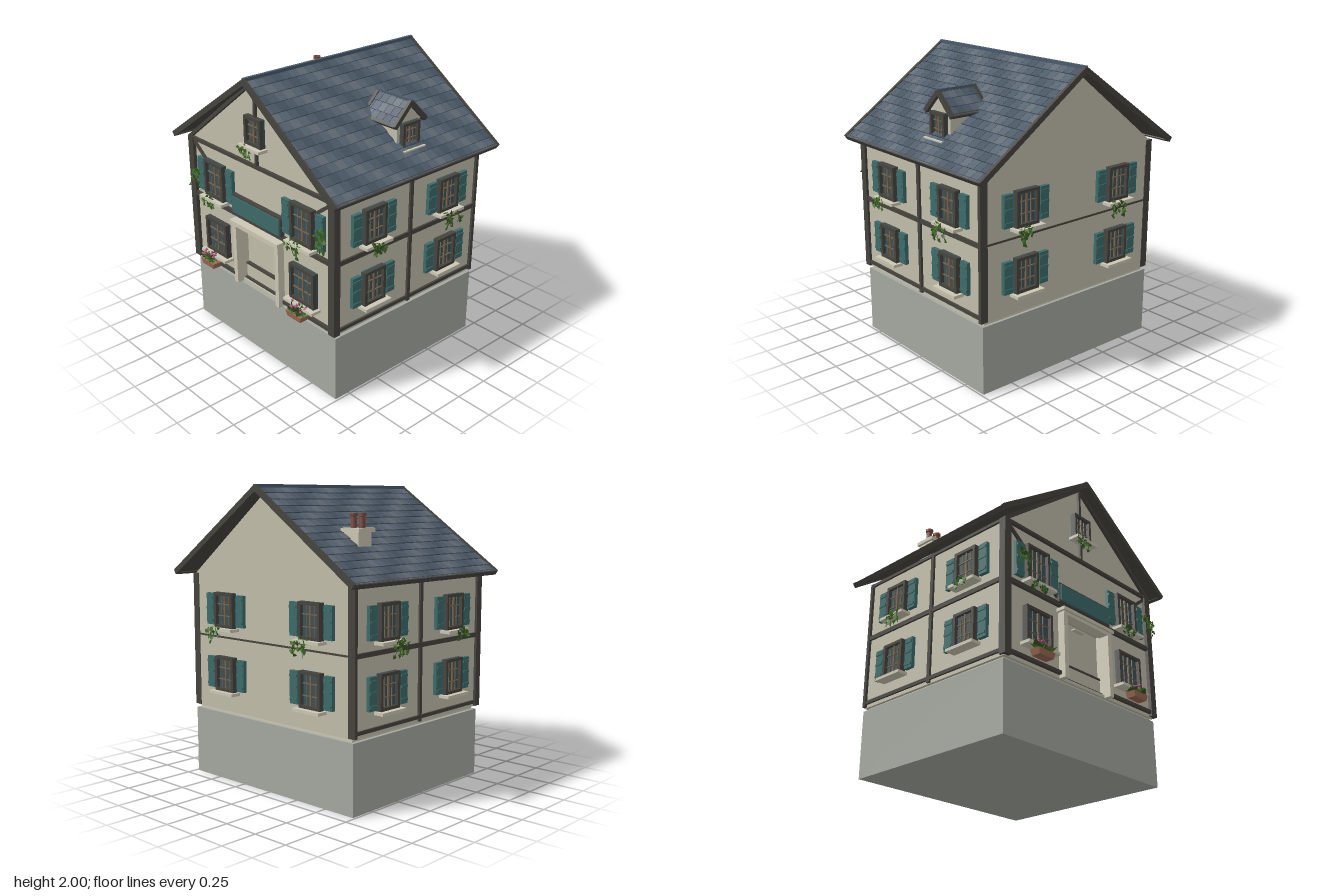
import * as THREE from 'three';
import { mergeGeometries } from 'three/addons/utils/BufferGeometryUtils.js';

const mat = (color, side = THREE.FrontSide) => new THREE.MeshStandardMaterial({ color, side, flatShading: true });
const M = {
  wall: mat(0xc2beab), stone: mat(0xcdc8b4), base: mat(0xa5a9a0), timber: mat(0x46443e), teal: mat(0x3c6b6a),
  glass: mat(0x3a5158), mullion: mat(0x75644f), pot: mat(0x7d4c40), box: mat(0x9a6a52), ridge: mat(0x4a5a6c),
  leaf: mat(0x4d7d2c, THREE.DoubleSide), darkLeaf: mat(0x33561f, THREE.DoubleSide), flower: mat(0xb04a80, THREE.DoubleSide),
};
const tileMats = [0x465360, 0x4d5a68, 0x566371, 0x626c76, 0x566371, 0x4d5a68].map(c => mat(c));

let seed = 7;
const rnd = (a = 0, b = 1) => { seed = (seed * 16807) % 2147483647; return a + (b - a) * seed / 2147483647; };

function add(parent, name, geo, material, x = 0, y = 0, z = 0) {
  const m = new THREE.Mesh(geo, material);
  m.name = name;
  m.position.set(x, y, z);
  parent.add(m);
  return m;
}
function group(parent, name) {
  const g = new THREE.Group();
  g.name = name;
  parent.add(g);
  return g;
}
// box given by its limits on each axis
const block = (p, name, m, x0, x1, y0, y1, z0, z1) =>
  add(p, name, new THREE.BoxGeometry(x1 - x0, y1 - y0, z1 - z0), m, (x0 + x1) / 2, (y0 + y1) / 2, (z0 + z1) / 2);
// slanted beam between two points of a wall
function beam(p, name, x0, y0, x1, y1, z, w, d) {
  const b = add(p, name, new THREE.BoxGeometry(Math.hypot(x1 - x0, y1 - y0), w, d), M.timber, (x0 + x1) / 2, (y0 + y1) / 2, z);
  b.rotation.z = Math.atan2(y1 - y0, x1 - x0);
}
// five-sided gable outline, extruded from z0 to z1
function gable(p, name, hw, y0, y1, apex, z0, z1, hole) {
  const s = new THREE.Shape([[-hw, y0], [hw, y0], [hw, y1], [0, apex], [-hw, y1]].map(a => new THREE.Vector2(...a)));
  if (hole) s.holes.push(new THREE.Path(hole.map(a => new THREE.Vector2(...a))));
  return add(p, name, new THREE.ExtrudeGeometry(s, { depth: z1 - z0, bevelEnabled: false }), M.wall, 0, 0, z0);
}

// pointed leaf lying in its own plane
function leafGeo(size) {
  const s = new THREE.Shape([[0, 0], [0.45, 0.2], [0.3, 0.55], [0, 1], [-0.3, 0.55], [-0.45, 0.2]].map(a => new THREE.Vector2(a[0] * size, a[1] * size)));
  return new THREE.ShapeGeometry(s);
}
// trailing cluster of leaves with stems, facing +z
function ivy(parent, x, y, w, h, z = 0.07) {
  const g = group(parent, 'ivy');
  g.position.set(x, y, z);
  const leaves = [[], []];
  for (let k = 0; k < 5; k++) {
    const x0 = rnd(-w / 2, w / 2), drop = h * rnd(0.45, 1);
    const curve = new THREE.CatmullRomCurve3([[x0 * 0.5, 0, -0.03], [x0, -drop * 0.3, 0.008], [x0 * 1.1, -drop, 0]].map(a => new THREE.Vector3(...a)));
    add(g, 'ivyStem', new THREE.TubeGeometry(curve, 6, 0.002, 4), M.darkLeaf);
    for (let i = 0; i < 6; i++) {
      const q = curve.getPoint((i + 0.5) / 6);
      leaves[i % 2].push(leafGeo(rnd(0.025, 0.036)).rotateX(rnd(-0.5, 0.5)).rotateY(rnd(-0.5, 0.5))
        .rotateZ(rnd(0, 6.28)).translate(q.x + rnd(-0.008, 0.008), q.y, q.z + 0.004));
    }
  }
  leaves.forEach((l, i) => add(g, 'ivyLeaves', mergeGeometries(l), i ? M.darkLeaf : M.leaf));
}

// framed, barred window facing +z, centred on x, y
function makeWindow(parent, x, y, w, h, shutters = false) {
  const g = group(parent, 'window'), a = w / 2, b = h / 2, f = 0.02;
  g.position.set(x, y, 0);
  block(g, 'glass', M.glass, -a, a, -b, b, -0.01, 0.015);
  for (const s of [-1, 1]) {
    add(g, 'frameSide', new THREE.BoxGeometry(f, h, 0.045), M.timber, s * (a - f / 2), 0, 0.018);
    add(g, 'frameRail', new THREE.BoxGeometry(w, f, 0.043), M.timber, 0, s * (b - f / 2), 0.018);
    add(g, 'crossBar', new THREE.BoxGeometry(w - f, 0.006, 0.02), M.mullion, 0, s * h / 6, 0.014);
    add(g, 'thinBar', new THREE.BoxGeometry(0.004, h - f, 0.016), M.mullion, s * w * 0.2, 0, 0.014);
    if (!shutters) continue;
    const sh = group(g, 'shutter');
    sh.position.x = s * (a + 0.056);
    block(sh, 'shutterPanel', M.teal, -0.035, 0.035, -b + 0.012, b - 0.01, 0, 0.026);
    for (const t of [-1, 0.1, 1])
      add(sh, 'shutterRail', new THREE.BoxGeometry(0.062, 0.016, 0.01), M.teal, 0, t * (b - 0.04), 0.028);
  }
  add(g, 'centreBar', new THREE.BoxGeometry(0.012, h - f, 0.026), M.mullion, 0, 0, 0.014);
  block(g, 'sill', M.stone, -a - 0.022, a + 0.022, -b - 0.02, -b, 0, 0.075);
}

// one tiled roof slope, hung from the ridge; s picks the side
function roofSide(parent, s, ridgeY, len, angle, z0, z1, rows, cols, t) {
  const g = group(parent, 'roofSlope');
  g.position.y = ridgeY;
  g.rotation.z = -s * angle;
  const span = (a, b) => s > 0 ? [a, b] : [-b, -a];
  block(g, 'roofDeck', M.timber, ...span(0, len), -t, -0.006, z0, z1);
  const bins = tileMats.map(() => []), step = len / rows, w = (z1 - z0) / cols;
  for (let r = 0; r < rows; r++) for (let c = 0; c <= cols; c++) {
    const a = Math.max(z0, z0 + (c - (r % 2) / 2) * w), b = Math.min(z1, z0 + (c + 1 - (r % 2) / 2) * w);
    if (b - a < 0.01) continue;
    bins[(c + Math.floor(r / 2) + r) % 6].push(new THREE.BoxGeometry(step * 1.08, 0.008, b - a - 0.003)
      .rotateZ(s * 0.1).translate(s * (r + 0.5) * step, -0.003, (a + b) / 2));
  }
  bins.forEach((l, i) => l.length && add(g, 'roofTiles', mergeGeometries(l), tileMats[i]));
  for (const z of [z0, z1]) block(g, 'vergeBoard', M.timber, ...span(0, len + 0.008), -t - 0.008, 0.008, z - 0.011, z + 0.011);
  block(g, 'eaveBoard', M.timber, ...span(len - 0.012, len + 0.01), -t - 0.008, 0.004, z0, z1);
}

// planter with spiky leaves and blossoms
function planter(parent, x) {
  const g = group(parent, 'planter');
  g.position.set(x, 0.52, 0.685);
  const pot = new THREE.CylinderGeometry(0.052, 0.044, 0.04, 4).rotateY(Math.PI / 4).scale(2, 1, 1);
  add(g, 'planterBox', pot, M.box, 0, 0.02, 0);
  const green = [[], []], blooms = [];
  for (let i = 0; i < 40; i++) {
    const dx = rnd(-0.055, 0.055);
    green[i % 2].push(leafGeo(rnd(0.045, 0.07)).rotateX(rnd(0.2, 1.2)).rotateY(rnd(0, 6.28)).translate(dx, rnd(0.03, 0.045), rnd(-0.015, 0.02)));
    if (i % 3 === 0) blooms.push(new THREE.IcosahedronGeometry(rnd(0.007, 0.011), 0).translate(dx * 1.2, rnd(0.075, 0.1), rnd(-0.025, 0.03)));
  }
  green.forEach((l, i) => add(g, 'planterLeaves', mergeGeometries(l), i ? M.darkLeaf : M.leaf));
  add(g, 'blossoms', mergeGeometries(blooms), M.flower);
}

export function createModel() {
  const house = new THREE.Group();
  house.name = 'house';

  // plinth and body
  block(house, 'plinth', M.base, -0.735, 0.735, 0, 0.46, -0.67, 0.61);
  block(house, 'plinthStep', M.stone, -0.71, 0.71, 0.46, 0.485, -0.65, 0.59);
  gable(house, 'body', 0.73, 0.48, 1.4, 1.965, -0.665, 0.56);
  gable(house, 'frontWall', 0.73, 0.48, 1.4, 1.965, 0.56, 0.61, [[-0.205, 0.5], [-0.205, 0.92], [0.205, 0.92], [0.205, 0.5]]);

  // front: timbers, windows, doorway, sign
  const front = group(house, 'frontFacade');
  front.position.z = 0.61;
  for (const [y0, y1] of [[1.385, 1.407], [0.97, 1.0]]) block(front, 'frontBeam', M.timber, -0.74, 0.74, y0, y1, -0.01, 0.022);
  block(front, 'gablePost', M.timber, -0.01, 0.01, 1.4, 1.95, -0.01, 0.018);
  for (const s of [-1, 1]) {
    block(front, 'sillBeam', M.timber, s < 0 ? -0.74 : 0.24, s < 0 ? -0.24 : 0.74, 0.503, 0.526, -0.01, 0.022);
    beam(front, 'gableBeam', s * 0.735, 1.4, 0, 1.968, 0.006, 0.024, 0.035);
    beam(front, 'brace', s * 0.705, 1.38, s * 0.25, 1.035, 0.004, 0.022, 0.02);
    makeWindow(front, s * 0.453, 1.16, 0.205, 0.26, true);
    makeWindow(front, s * 0.453, 0.733, 0.235, 0.25);
    block(front, 'doorPillar', M.stone, s * 0.222 - 0.018, s * 0.222 + 0.018, 0.48, 0.92, -0.05, 0.05);
  }
  makeWindow(front, 0, 1.64, 0.165, 0.19);
  block(front, 'doorLintel', M.stone, -0.235, 0.24, 0.91, 0.932, -0.02, 0.05);
  block(front, 'doorCornice', M.stone, -0.252, 0.252, 0.932, 0.955, -0.02, 0.065);
  block(front, 'doorPanel', M.wall, -0.2, 0.2, 0.51, 0.605, -0.055, -0.03);
  block(front, 'doorRail', M.timber, -0.2, 0.2, 0.605, 0.618, -0.055, -0.025);
  block(front, 'doorStep', M.timber, -0.2, 0.2, 0.5, 0.511, -0.055, -0.01);
  block(front, 'doorHook', M.stone, -0.05, 0.05, 0.886, 0.894, -0.06, -0.02);
  block(front, 'signFrame', M.timber, -0.257, 0.253, 0.995, 1.132, 0, 0.032);
  block(front, 'signBoard', M.teal, -0.246, 0.242, 1.006, 1.12, 0.02, 0.04);
  for (const [x, y, w, h] of [[-0.62, 1.2, 0.08, 0.14], [-0.49, 1.03, 0.12, 0.09], [0.41, 1.04, 0.15, 0.11], [0.65, 1.2, 0.1, 0.17], [-0.05, 1.54, 0.11, 0.11]])
    ivy(front, x, y, w, h, 0.065);
  planter(house, -0.475);
  planter(house, 0.455);

  // both sides: timbers and shuttered windows
  for (const s of [-1, 1]) {
    const side = group(house, 'sideFacade');
    side.position.x = s * 0.73;
    side.rotation.y = s * Math.PI / 2;
    const lx = z => -s * z;
    for (const [y0, y1] of [[1.385, 1.405], [0.97, 1.0], [0.503, 0.526]])
      block(side, 'sideBeam', M.timber, Math.min(lx(0.61), lx(-0.665)), Math.max(lx(0.61), lx(-0.665)), y0, y1, -0.01, 0.014);
    for (const [z, w] of [[0.61, 0.05], [-0.03, 0.026], [-0.657, 0.024]])
      add(side, 'sidePost', new THREE.BoxGeometry(w, 0.92, 0.055), M.timber, lx(z), 0.945, z === -0.03 ? -0.012 : -0.01);
    for (const z of [0.303, -0.363]) {
      makeWindow(side, lx(z), 1.172, 0.182, 0.235, true);
      makeWindow(side, lx(z), 0.74, 0.182, 0.235, true);
    }
    ivy(side, lx(0.32), 1.05, 0.11, 0.07, 0.085);
    ivy(side, lx(-0.335), 1.05, 0.15, 0.11, 0.085);
  }

  // back: plain wall with a thin band
  const back = group(house, 'backFacade');
  back.position.z = -0.665;
  back.rotation.y = Math.PI;
  block(back, 'backBand', M.timber, -0.73, 0.73, 0.978, 0.99, -0.005, 0.006);
  for (const x of [-0.4, 0.4]) {
    makeWindow(back, x, 1.172, 0.182, 0.235, true);
    makeWindow(back, x, 0.74, 0.182, 0.235, true);
    ivy(back, x - 0.03, 1.05, 0.13, 0.1, 0.08);
  }

  // main roof
  const roof = group(house, 'roof');
  for (const s of [-1, 1]) roofSide(roof, s, 1.988, 0.995, Math.atan2(0.565, 0.82), -0.762, 0.694, 14, 22, 0.02);
  block(roof, 'ridgeCap', M.ridge, -0.011, 0.011, 1.975, 2, -0.77, 0.7);

  // dormer on the +x slope
  const dormer = group(house, 'dormer');
  dormer.position.z = -0.113;
  dormer.rotation.y = Math.PI / 2;
  gable(dormer, 'dormerBody', 0.1, 1.52, 1.7, 1.8, 0.36, 0.612);
  for (const s of [-1, 1]) roofSide(dormer, s, 1.832, 0.195, Math.PI / 4, 0.345, 0.627, 3, 5, 0.014);
  block(dormer, 'dormerRidge', M.ridge, -0.008, 0.008, 1.822, 1.84, 0.335, 0.637);
  const dormerFront = group(dormer, 'dormerFront');
  dormerFront.position.z = 0.605;
  makeWindow(dormerFront, 0, 1.613, 0.15, 0.165);

  // chimney with two pots
  const chimney = group(house, 'chimney');
  chimney.position.set(-0.478, 0, -0.343);
  block(chimney, 'chimneyStack', M.stone, -0.06, 0.06, 1.5, 1.705, -0.06, 0.06);
  block(chimney, 'chimneyCap', M.stone, -0.077, 0.077, 1.705, 1.73, -0.077, 0.077);
  const pot = [[0.022, 0], [0.019, 0.07], [0.027, 0.075], [0.027, 0.092], [0.015, 0.092], [0.015, 0.03], [0, 0.03]].map(a => new THREE.Vector2(...a));
  for (const s of [-1, 1]) add(chimney, 'chimneyPot', new THREE.LatheGeometry(pot, 12), M.pot, s * 0.035, 1.73, 0);

  return house;
}
